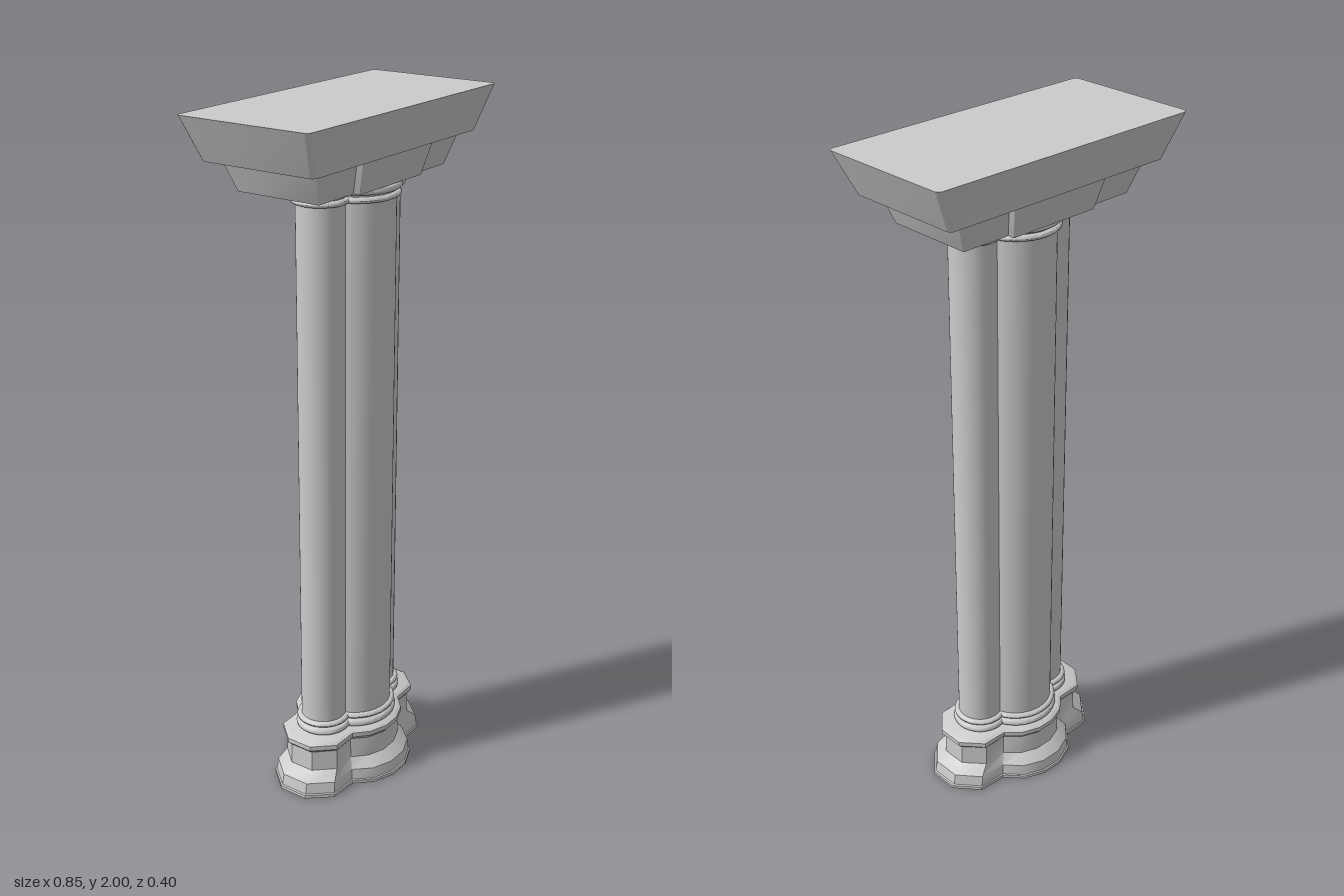
import * as THREE from 'three';
import { toCreasedNormals } from 'three/addons/utils/BufferGeometryUtils.js';

const material = new THREE.MeshStandardMaterial({ color: 0xcccccc });

// Outline of four overlapping round lobes: a wide pair on z, a narrow pair on x.
function lobedOutline(rf, zHalf, rs, xHalf, segs) {
  const zf = zHalf - rf, xs = xHalf - rs;
  const d = Math.hypot(xs, zf);
  const a = (rf * rf - rs * rs + d * d) / (2 * d);
  const h = Math.sqrt(Math.max(0, rf * rf - a * a));
  // point where a wide lobe meets a narrow one
  const sx = (a * xs + h * zf) / d, sz = zf + (h * xs - a * zf) / d;
  const lobes = [
    [xs, 0, rs, 0, Math.atan2(sz, sx - xs)],
    [0, zf, rf, Math.PI / 2, Math.PI / 2 - Math.atan2(sz - zf, sx)],
    [-xs, 0, rs, Math.PI, Math.atan2(sz, sx - xs)],
    [0, -zf, rf, Math.PI * 1.5, Math.PI / 2 - Math.atan2(sz - zf, sx)],
  ];
  const points = [];
  for (const [cx, cz, r, mid, half] of lobes) {
    for (let i = 0; i < segs; i++) {
      const t = mid - half + (2 * half * i) / segs;
      const rr = i ? r / Math.cos(half / segs) : r;
      points.push([cx + rr * Math.cos(t), cz + rr * Math.sin(t)]);
    }
  }
  return points;
}

// Rectangle with small rounded corners.
function roundedRect(hx, hz, r, segs = 4) {
  const points = [];
  [[1, 1], [-1, 1], [-1, -1], [1, -1]].forEach(([sx, sz], q) => {
    for (let i = 0; i <= segs; i++) {
      const t = (q + i / segs) * Math.PI / 2;
      points.push([sx * (hx - r) + r * Math.cos(t), sz * (hz - r) + r * Math.sin(t)]);
    }
  });
  return points;
}

// Closed solid through stacked outlines, each { y, points }.
function loft(name, levels, crease = 0.6) {
  const n = levels[0].points.length, pos = [], index = [];
  for (const { y, points } of levels) for (const [x, z] of points) pos.push(x, y, z);
  for (let k = 0; k < levels.length - 1; k++) {
    for (let i = 0; i < n; i++) {
      const a = k * n + i, b = k * n + (i + 1) % n;
      index.push(a, a + n, b, b, a + n, b + n);
    }
  }
  const bottom = pos.length / 3, top = bottom + 1, last = (levels.length - 1) * n;
  pos.push(0, levels[0].y, 0, 0, levels[levels.length - 1].y, 0);
  for (let i = 0; i < n; i++) {
    const j = (i + 1) % n;
    index.push(bottom, i, j, top, last + j, last + i);
  }
  const geometry = new THREE.BufferGeometry();
  geometry.setAttribute('position', new THREE.Float32BufferAttribute(pos, 3));
  geometry.setIndex(index);
  const mesh = new THREE.Mesh(toCreasedNormals(geometry, crease), material);
  mesh.name = name;
  return mesh;
}

// Rows are [y, wide lobe radius, z reach, narrow lobe radius, x reach].
const lobedLoft = (name, rows, segs) => loft(name,
  rows.map(([y, ...r]) => ({ y, points: lobedOutline(...r, segs) })));

// Flared block from bottom to top half sizes.
const flare = (name, y0, hx0, hz0, y1, hx1, hz1, r) => loft(name, [
  { y: y0, points: roundedRect(hx0, hz0, r) },
  { y: y1, points: roundedRect(hx1, hz1, r) },
]);

export function createModel() {
  const model = new THREE.Group();
  model.name = 'column';

  const pier = new THREE.Group();
  pier.name = 'pier';
  pier.position.set(0.007, 0, 0.009);
  model.add(pier);

  // Faceted pedestal: plinth, sloped shoulder, die and cornice
  pier.add(lobedLoft('base', [
    [0, 0.172, 0.19, 0.118, 0.284],
    [0.01, 0.172, 0.19, 0.118, 0.284],
    [0.012, 0.168, 0.186, 0.115, 0.279],
    [0.045, 0.165, 0.182, 0.112, 0.273],
    [0.072, 0.146, 0.15, 0.096, 0.24],
    [0.135, 0.144, 0.148, 0.094, 0.238],
    [0.142, 0.151, 0.154, 0.1, 0.247],
    [0.148, 0.156, 0.159, 0.104, 0.252],
    [0.162, 0.156, 0.159, 0.104, 0.252],
    [0.168, 0.146, 0.15, 0.096, 0.242],
  ], 5));

  // Clustered shaft
  pier.add(lobedLoft('shaft', [
    [0.16, 0.109, 0.13, 0.066, 0.193],
    [1.8, 0.109, 0.13, 0.066, 0.193],
  ], 20));

  // Paired beads at the foot and neck; larger bead faces outwards from the shaft
  const bead = (name, y, height, out) => {
    const rows = [];
    for (let i = 0; i <= 6; i++) {
      const t = (i / 6) * Math.PI, d = out * (0.3 + 0.7 * Math.sin(t));
      rows.push([y - Math.cos(t) * height / 2, 0.109 + d, 0.13 + d, 0.066 + d, 0.193 + d]);
    }
    pier.add(lobedLoft(name, rows, 20));
  };
  bead('footLowerBead', 0.18, 0.022, 0.016);
  bead('footUpperBead', 0.203, 0.016, 0.013);
  bead('neckLowerBead', 1.762, 0.016, 0.013);
  bead('neckUpperBead', 1.785, 0.02, 0.016);

  // Capital: long flared block crossed by a deeper middle block, under a slab
  model.add(flare('capitalSideBlock', 1.795, 0.288, 0.128, 1.885, 0.325, 0.152, 0.004));
  model.add(flare('capitalMiddleBlock', 1.795, 0.142, 0.148, 1.885, 0.16, 0.172, 0.004));
  model.add(flare('abacus', 1.88, 0.37, 0.175, 2, 0.427, 0.202, 0.014));

  return model;
}
